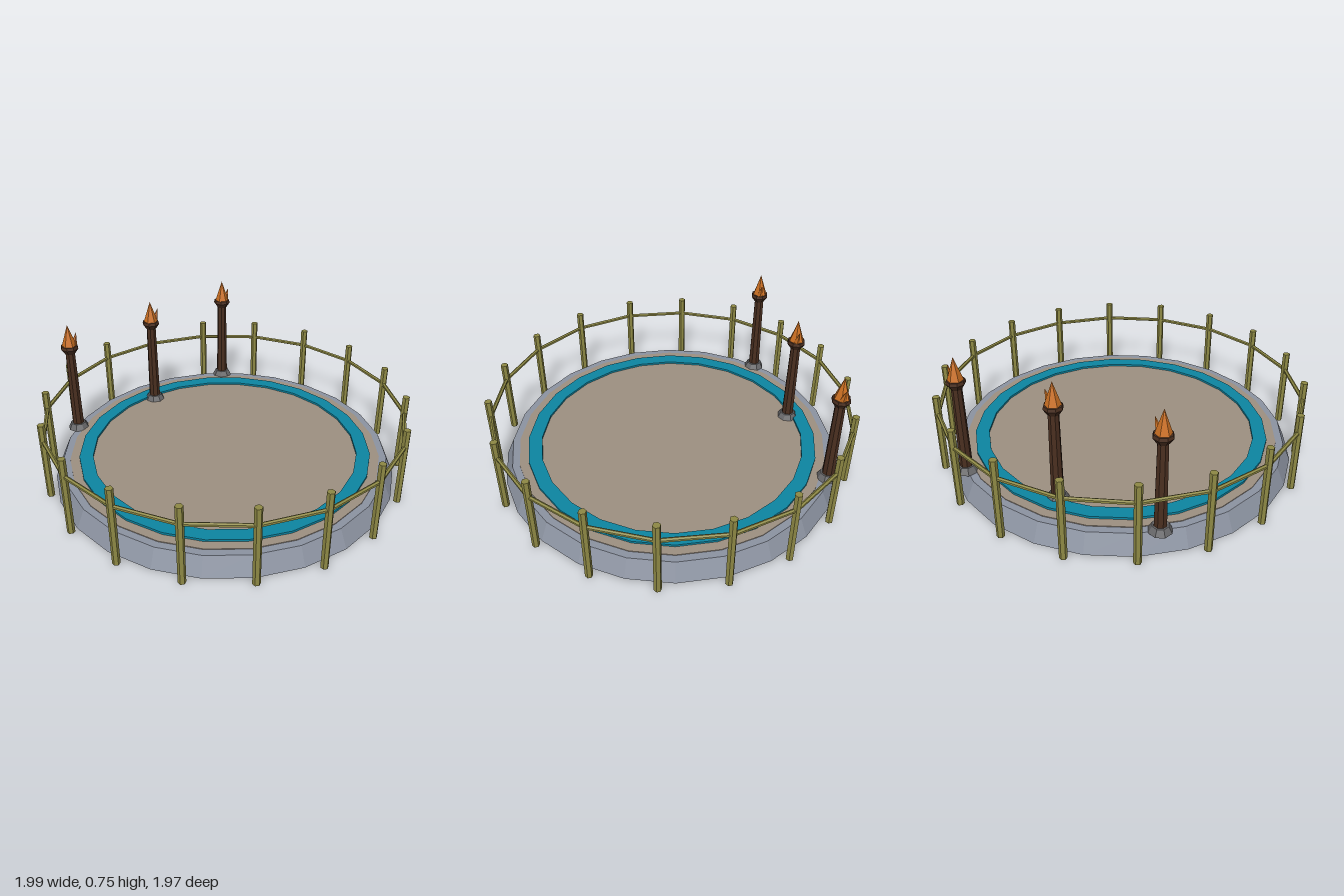
import * as THREE from 'three';

const mat = (name, color) => {
  const m = new THREE.MeshStandardMaterial({ color, flatShading: true });
  m.name = name;
  return m;
};

export function createModel() {
  const stone = mat('stone', 0x8d94a2);
  const sand = mat('sand', 0x9e9182);
  const teal = mat('teal', 0x0d86a3);
  const bamboo = mat('bamboo', 0x8f8a45);
  const wood = mat('darkWood', 0x4a2f20);
  const footStone = mat('footStone', 0x6a6a6c);
  const fire = mat('fire', 0xcc7022);

  const root = new THREE.Group();
  root.name = 'arena';

  function add(parent, name, geometry, material, x = 0, y = 0, z = 0) {
    const mesh = new THREE.Mesh(geometry, material);
    mesh.name = name;
    mesh.position.set(x, y, z);
    parent.add(mesh);
    return mesh;
  }
  // cylinder between two heights
  const drum = (rTop, rBottom, y0, y1, sides) =>
    new THREE.CylinderGeometry(rTop, rBottom, y1 - y0, sides).translate(0, (y0 + y1) / 2, 0);

  // Platform and sand floor
  add(root, 'platform', drum(0.9, 0.945, 0, 0.1, 24), stone);
  add(root, 'sandFloor', drum(0.86, 0.86, 0.09, 0.104, 24), sand);

  // Raised border ring: closed rectangular profile
  const profile = [[0.735, 0.1], [0.81, 0.1], [0.81, 0.116], [0.735, 0.116], [0.735, 0.1]]
    .map(([r, y]) => new THREE.Vector2(r, y));
  add(root, 'borderRing', new THREE.LatheGeometry(profile, 24), teal);

  // Fence: posts joined by a single rail
  const fence = new THREE.Group();
  fence.name = 'fence';
  root.add(fence);
  const COUNT = 18, R = 0.98, STEP = (Math.PI * 2) / COUNT;
  const postGeo = drum(0.02, 0.02, 0, 0.44, 6);
  const railGeo = new THREE.CylinderGeometry(0.011, 0.011, 2 * R * Math.sin(STEP / 2), 6).rotateX(Math.PI / 2);
  const railR = R * Math.cos(STEP / 2);
  for (let i = 0; i < COUNT; i++) {
    const a = i * STEP, b = a + STEP / 2;
    add(fence, 'post', postGeo, bamboo, R * Math.cos(a), 0, R * Math.sin(a));
    add(fence, 'rail', railGeo, bamboo, railR * Math.cos(b), 0.34, railR * Math.sin(b)).rotation.y = -b;
  }

  // Torches along the back
  const footGeo = drum(0.042, 0.06, 0.1, 0.135, 8);
  const poleGeo = drum(0.027, 0.033, 0.12, 0.6, 8);
  const bowlGeo = new THREE.LatheGeometry(
    [[0, 0.585], [0.03, 0.585], [0.05, 0.615], [0.046, 0.632], [0, 0.632]]
      .map(([r, y]) => new THREE.Vector2(r, y)), 8);
  const flameGeo = new THREE.ConeGeometry(0.042, 0.125, 6).translate(0, 0.69, 0);
  const sideFlameGeo = new THREE.ConeGeometry(0.02, 0.08, 5).translate(0, 0.04, 0);
  for (const x of [-0.54, 0, 0.54]) {
    const torch = new THREE.Group();
    torch.name = 'torch';
    torch.position.set(x, 0, -0.71);
    root.add(torch);
    add(torch, 'torchFoot', footGeo, footStone);
    add(torch, 'torchPole', poleGeo, wood);
    add(torch, 'torchBowl', bowlGeo, wood);
    add(torch, 'flame', flameGeo, fire);
    add(torch, 'sideFlame', sideFlameGeo, fire, 0.022, 0.626, 0.008).rotation.z = -0.3;
  }
  return root;
}
